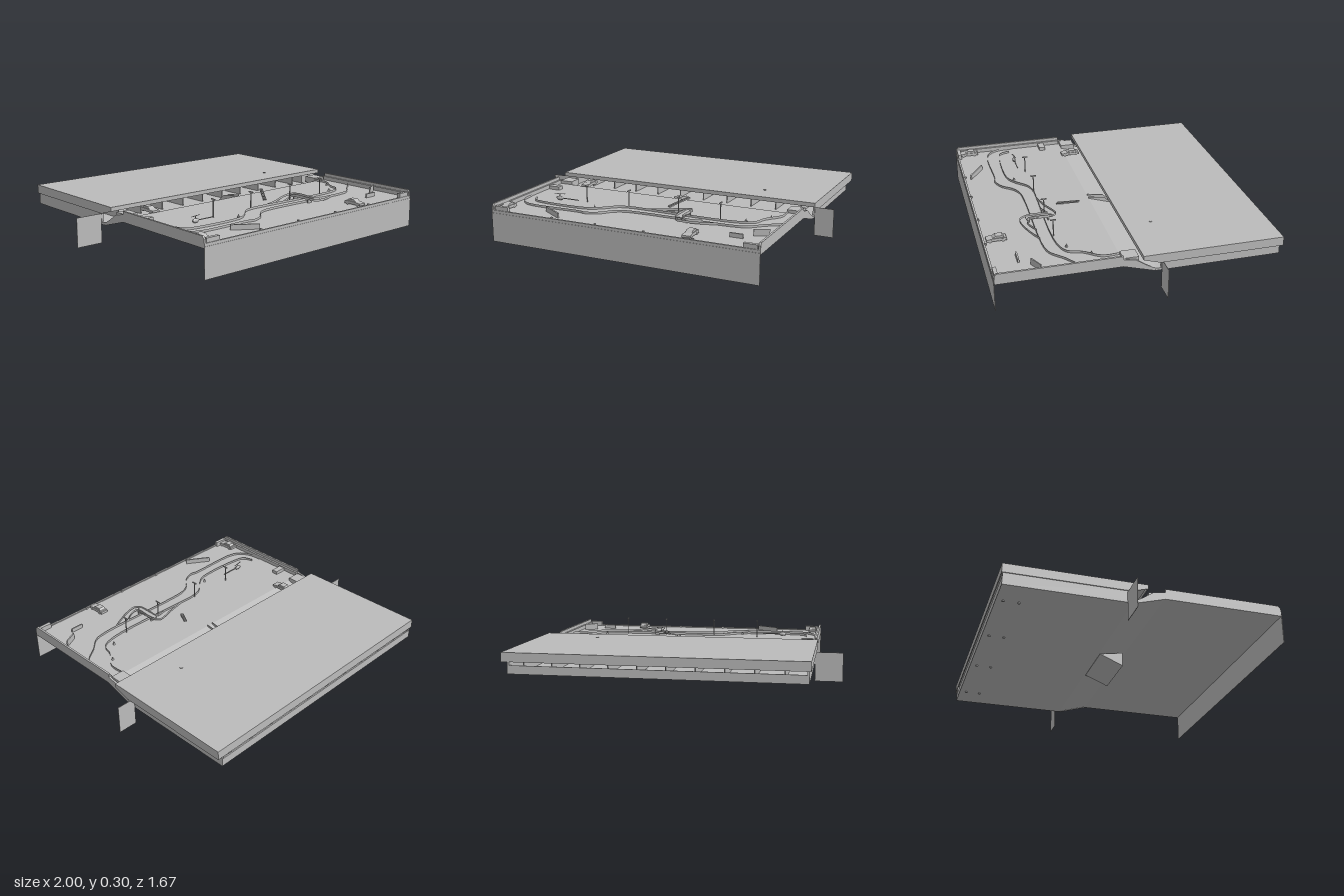
import * as THREE from 'three';

export function createModel() {
  const root = new THREE.Group();
  root.name = 'raceTable';
  const grey = new THREE.MeshStandardMaterial({ color: 0xbbbbbb, side: THREE.DoubleSide, flatShading: true });
  grey.name = 'plainGrey';

  const add = (name, geo, parent = root) => {
    const m = new THREE.Mesh(geo, grey);
    m.name = name;
    parent.add(m);
    return m;
  };
  // box given by its limits on each axis
  const box = (name, x0, x1, y0, y1, z0, z1, parent = root) => {
    const g = new THREE.BoxGeometry(x1 - x0, y1 - y0, z1 - z0);
    g.translate((x0 + x1) / 2, (y0 + y1) / 2, (z0 + z1) / 2);
    return add(name, g, parent);
  };
  // side profile of [z, y] points drawn out from x0 to x1
  const profile = (name, pts, x0, x1, parent = root) => {
    const s = new THREE.Shape(pts.map(([z, y]) => new THREE.Vector2(z, y)));
    const g = new THREE.ExtrudeGeometry(s, { depth: x1 - x0, bevelEnabled: false });
    g.rotateY(-Math.PI / 2).translate(x1, 0, 0);
    return add(name, g, parent);
  };
  // upright thin wall following [x, z, lift] points
  const wall = (name, pts, y = 0.19, h = 0.014) => {
    const c = new THREE.CatmullRomCurve3(pts.map(([x, z, l = 0]) => new THREE.Vector3(x, y + l, z)), false, 'centripetal');
    const ring = c.getPoints(pts.length * 6), pos = [], idx = [];
    ring.forEach((p, i) => {
      pos.push(p.x, p.y, p.z, p.x, p.y + h, p.z);
      if (i) idx.push(2 * i - 2, 2 * i, 2 * i - 1, 2 * i, 2 * i + 1, 2 * i - 1);
    });
    const g = new THREE.BufferGeometry();
    g.setAttribute('position', new THREE.Float32BufferAttribute(pos, 3));
    g.setIndex(idx);
    g.computeVertexNormals();
    return add(name, g);
  };

  const L = -0.83, R = 0.88, F = 0.19;

  // playing field, ramp and rear floor in one section
  profile('fieldFloor', [[0.825, 0.17], [0.825, F], [0.1, F], [-0.09, 0.13], [-0.83, 0.125],
    [-0.83, 0.115], [-0.09, 0.115], [0.1, 0.17]], L, R);

  // side rails and ramp cheeks
  for (const [a, b, c, d] of [[L, L + 0.012, L + 0.012, L + 0.025], [R - 0.012, R, R - 0.025, R - 0.012]]) {
    profile('sideRail', [[0.105, 0.17], [0.825, 0.17], [0.825, 0.22], [0.81, 0.235], [0.105, 0.235]], a, b);
    profile('innerRail', [[0.105, F], [0.815, F], [0.815, 0.215], [0.105, 0.215]], c, d);
    profile('rampCheek', [[0.105, 0.17], [0.105, 0.215], [0.03, 0.2], [-0.02, 0.165], [-0.08, 0.13], [-0.08, 0.115]], a, b);
    box('lowerSideWall', a, b, 0.115, 0.19, -0.83, -0.115);
  }
  box('frontRail', L, R, 0.18, 0.197, 0.815, 0.827);
  for (const x of [-0.42, -0.13, 0.18, 0.48]) box('frontRailClip', x, x + 0.01, 0.19, 0.203, 0.808, 0.82);
  box('cornerBlock', L + 0.02, -0.72, F, 0.222, 0.8, 0.822);
  box('cornerBlock', 0.78, R - 0.02, F, 0.222, 0.8, 0.822);

  // hanging front skirt and two rear wings
  box('frontSkirt', L, R, 0, 0.18, 0.826, 0.829);
  box('rightWing', -1, L, 0, 0.18, -0.122, -0.119);
  box('leftWing', R, 1, 0, 0.18, -0.122, -0.119);

  // lid over the rear half
  const lid = new THREE.Group();
  lid.name = 'lid';
  root.add(lid);
  box('lidTop', -0.84, 0.915, 0.232, 0.24, -0.837, 0, lid);
  const rim = [[0, 0.24], [-0.837, 0.24], [-0.837, 0.185], [-0.1, 0.185], [0, 0.215]];
  profile('lidSide', rim, -0.84, -0.834, lid);
  profile('lidSide', rim, 0.909, 0.915, lid);
  box('lidRear', -0.84, 0.915, 0.185, 0.24, -0.837, -0.831, lid);
  box('lidFront', -0.84, 0.915, 0.215, 0.24, -0.006, 0, lid);
  const knob = new THREE.CylinderGeometry(0.01, 0.01, 0.004, 12);
  add('lidKnob', knob.translate(0.54, 0.241, -0.157), lid);
  box('lowerRearWall', L, R, 0.115, 0.165, -0.832, -0.824);

  // ribs carrying the lid
  for (let i = 0; i < 10; i++) {
    const x = -0.7 + i * 0.165;
    box('lidRib', x, x + 0.006, 0.125, 0.232, -0.81, -0.13);
  }
  // small feet
  for (const x of [-0.65, -0.2, 0.25, 0.7])
    for (const z of [-0.7, -0.79]) add('foot', new THREE.CylinderGeometry(0.008, 0.008, 0.006, 10).translate(x, 0.112, z));

  // chute hanging under the ramp
  const wedge = [[0.068, 0.055], [0.068, 0.142], [-0.08, 0.116]];
  for (const x of [-0.14, 0.028, 0.197]) profile('chuteCheek', wedge, x, x + 0.003);
  profile('chuteFloor', [[0.068, 0.055], [0.068, 0.059], [-0.08, 0.119], [-0.08, 0.115]], -0.14, 0.2);
  for (const x of [0.028, 0.068])
    profile('rampDivider', [[0.1, F], [0.1, 0.2], [0, 0.185], [-0.05, 0.14]], x, x + 0.003);

  // track walls
  wall('trackOuterWall', [[-0.8, 0.45], [-0.79, 0.54], [-0.75, 0.6], [-0.68, 0.63], [-0.34, 0.63], [-0.3, 0.638],
    [-0.22, 0.605], [-0.16, 0.54], [-0.1, 0.51], [0, 0.5], [0.58, 0.5], [0.67, 0.48], [0.75, 0.41], [0.84, 0.34], [0.86, 0.27]]);
  wall('trackInnerWall', [[-0.745, 0.47], [-0.72, 0.53], [-0.66, 0.55], [-0.33, 0.55], [-0.26, 0.51], [-0.18, 0.44],
    [-0.1, 0.42], [0, 0.42], [0.58, 0.42], [0.68, 0.38], [0.71, 0.3], [0.78, 0.2], [0.78, 0.1]]);
  // bypass rising over the track
  wall('bypassWall', [[0, 0.42], [0.1, 0.395, 0.004], [0.2, 0.36, 0.012], [0.25, 0.35, 0.016], [0.28, 0.37, 0.022],
    [0.29, 0.42, 0.026], [0.29, 0.53, 0.022], [0.32, 0.54, 0.014], [0.4, 0.5, 0.004]]);
  wall('bypassWall', [[0.14, 0.425], [0.2, 0.405, 0.008], [0.24, 0.4, 0.018], [0.25, 0.44, 0.026], [0.25, 0.53, 0.024],
    [0.27, 0.575, 0.016], [0.32, 0.575, 0.012], [0.42, 0.54, 0.004], [0.5, 0.5]]);
  box('bridgeDeck', 0.25, 0.29, 0.212, 0.218, 0.38, 0.54);
  for (const z of [0.4, 0.52]) box('bridgePier', 0.255, 0.285, F, 0.212, z, z + 0.008);

  // lamp posts with a cross bar
  for (const x of [-0.415, -0.12, 0.21, 0.48]) {
    box('lampPost', x - 0.002, x + 0.002, F, 0.298, 0.412, 0.418);
    box('lampBar', x - 0.003, x + 0.003, 0.293, 0.3, 0.397, 0.433);
  }

  // cars
  for (const [x, z] of [[-0.61, 0.065], [-0.775, 0.745], [0.44, 0.745]]) {
    const car = new THREE.Group();
    car.name = 'car';
    car.position.set(x, F, z);
    root.add(car);
    profile('carBody', [[-0.06, 0.006], [0.06, 0.006], [0.06, 0.018], [0.025, 0.023], [-0.055, 0.024], [-0.06, 0.02]], -0.025, 0.025, car);
    profile('carCabin', [[-0.045, 0.023], [0.025, 0.022], [0.006, 0.036], [-0.034, 0.036]], -0.02, 0.02, car);
    for (const s of [-1, 1]) for (const w of [-0.038, 0.038]) {
      const g = new THREE.CylinderGeometry(0.01, 0.01, 0.008, 12).rotateZ(Math.PI / 2);
      add('carWheel', g.translate(s * 0.022, 0.01, w), car);
    }
  }

  // blocks along the sides
  box('sideBlock', -0.8, -0.725, F, 0.212, 0.215, 0.255);
  box('rearBlock', -0.81, -0.725, 0.17, 0.21, 0.01, 0.1);
  box('rearBlock', 0.775, 0.86, 0.17, 0.21, 0.01, 0.1);

  // helicopter
  const heli = new THREE.Group();
  heli.name = 'helicopter';
  heli.position.set(-0.585, 0.208, 0.46);
  root.add(heli);
  add('helicopterBody', new THREE.SphereGeometry(0.013, 10, 8).scale(2, 1, 0.8), heli);
  box('helicopterTail', 0.02, 0.135, -0.002, 0.003, -0.002, 0.002, heli);
  box('helicopterMast', -0.002, 0.002, 0.01, 0.026, -0.002, 0.002, heli);
  box('helicopterRotor', -0.035, 0.035, 0.026, 0.028, -0.003, 0.003, heli).rotation.y = 0.2;

  // standing boards: centre x, z, length, height, thickness, turn
  for (const [x, z, len, h, t, a] of [[-0.46, 0.735, 0.165, 0.03, 0.01, -0.57],
    [0.68, 0.665, 0.08, 0.025, 0.01, 0], [0.795, 0.58, 0.09, 0.04, 0.008, 0.45]]) {
    const b = box('standingBoard', -len / 2, len / 2, 0, h, -t / 2, t / 2);
    b.position.set(x, F, z);
    b.rotation.y = a;
  }

  // sloping ladder truss
  const truss = new THREE.Group();
  truss.name = 'ladderTruss';
  truss.position.set(0.137, 0.217, 0.25);
  truss.rotation.set(0, 0.98, 0.25);
  root.add(truss);
  for (const s of [-0.008, 0.008]) box('trussRail', -0.075, 0.075, -0.004, 0.004, s - 0.002, s + 0.002, truss);
  for (let i = 0; i < 8; i++) box('trussRung', -0.074 + i * 0.02, -0.068 + i * 0.02, -0.003, 0.003, -0.008, 0.008, truss);

  // marker cones
  for (const [x, z] of [[-0.305, 0.51], [0.62, 0.37], [0.73, 0.25]])
    add('markerCone', new THREE.ConeGeometry(0.008, 0.022, 10).translate(x, F + 0.011, z));

  return root;
}
